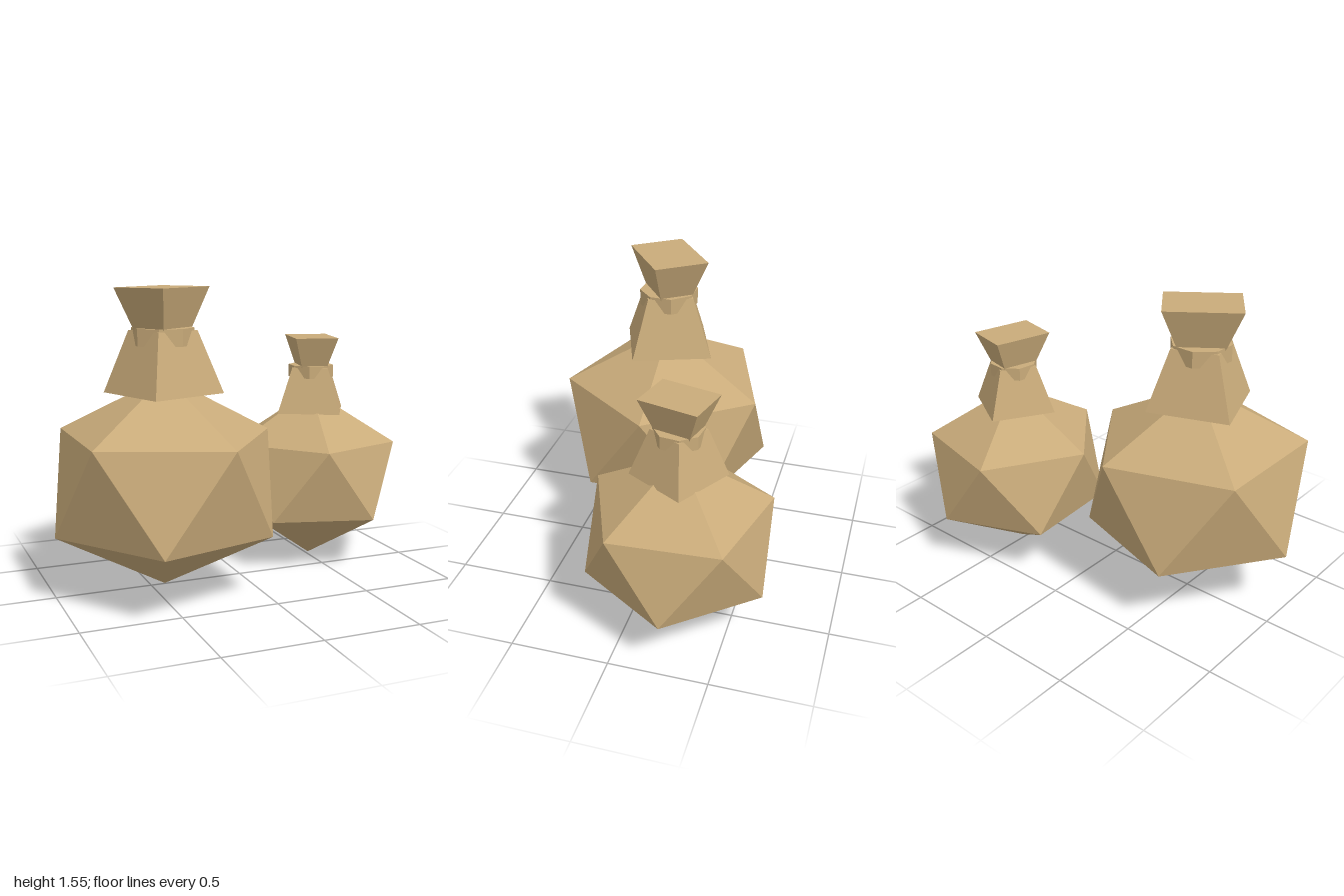
import * as THREE from 'three';
import { ConvexGeometry } from 'three/addons/geometries/ConvexGeometry.js';

const rad = THREE.MathUtils.degToRad;

export function createModel() {
  const burlap = new THREE.MeshStandardMaterial({ color: 0xc9ab7a, flatShading: true });

  const add = (parent, name, geometry, y = 0, turn = 0) => {
    const mesh = new THREE.Mesh(geometry, burlap);
    mesh.name = name;
    mesh.position.y = y;
    mesh.rotation.y = rad(turn);
    parent.add(mesh);
    return mesh;
  };

  // Four-sided frustum, w x d at its wide end; top and bottom are size ratios
  const frustum = (w, d, h, top, bottom) =>
    new THREE.CylinderGeometry(top * Math.SQRT1_2, bottom * Math.SQRT1_2, h, 4)
      .rotateY(Math.PI / 4).scale(w, 1, d);

  // Twelve-cornered faceted body: two staggered rings of five and two poles
  const bodyGeometry = (radius, ringY, poleY) => {
    const points = [new THREE.Vector3(0, poleY, 0), new THREE.Vector3(0, -poleY, 0)];
    for (let i = 0; i < 10; i++) {
      const a = i * Math.PI / 5;
      points.push(new THREE.Vector3(Math.cos(a) * radius, i % 2 ? -ringY : ringY, Math.sin(a) * radius));
    }
    return new ConvexGeometry(points);
  };

  const makeSack = (name, size, turn, radius, poleY) => {
    const sack = new THREE.Group();
    sack.name = name;
    const body = add(sack, 'sackBody', bodyGeometry(radius, 0.243, poleY));
    body.rotation.z = -0.015;
    // Gathered neck, tie and flared mouth
    add(sack, 'neckSkirt', frustum(0.424, 0.424, 0.31, 0.57, 1), 0.607, 20);
    add(sack, 'neckTie', new THREE.CylinderGeometry(0.156, 0.156, 0.085, 8), 0.733, 20);
    add(sack, 'flaredMouth', frustum(0.39, 0.294, 0.25, 1, 0.52), 0.847, 36);
    sack.scale.setScalar(size);
    sack.rotation.y = rad(turn);
    return sack;
  };

  const model = new THREE.Group();
  model.name = 'sacks';
  const large = makeSack('largeSack', 1, 0, 0.562, 0.535);
  large.position.set(-0.452, 0.578, 0.107);
  const small = makeSack('smallSack', 0.8, 40, 0.586, 0.592);
  small.position.set(0.525, 0.475, -0.222);
  model.add(large, small);
  return model;
}
